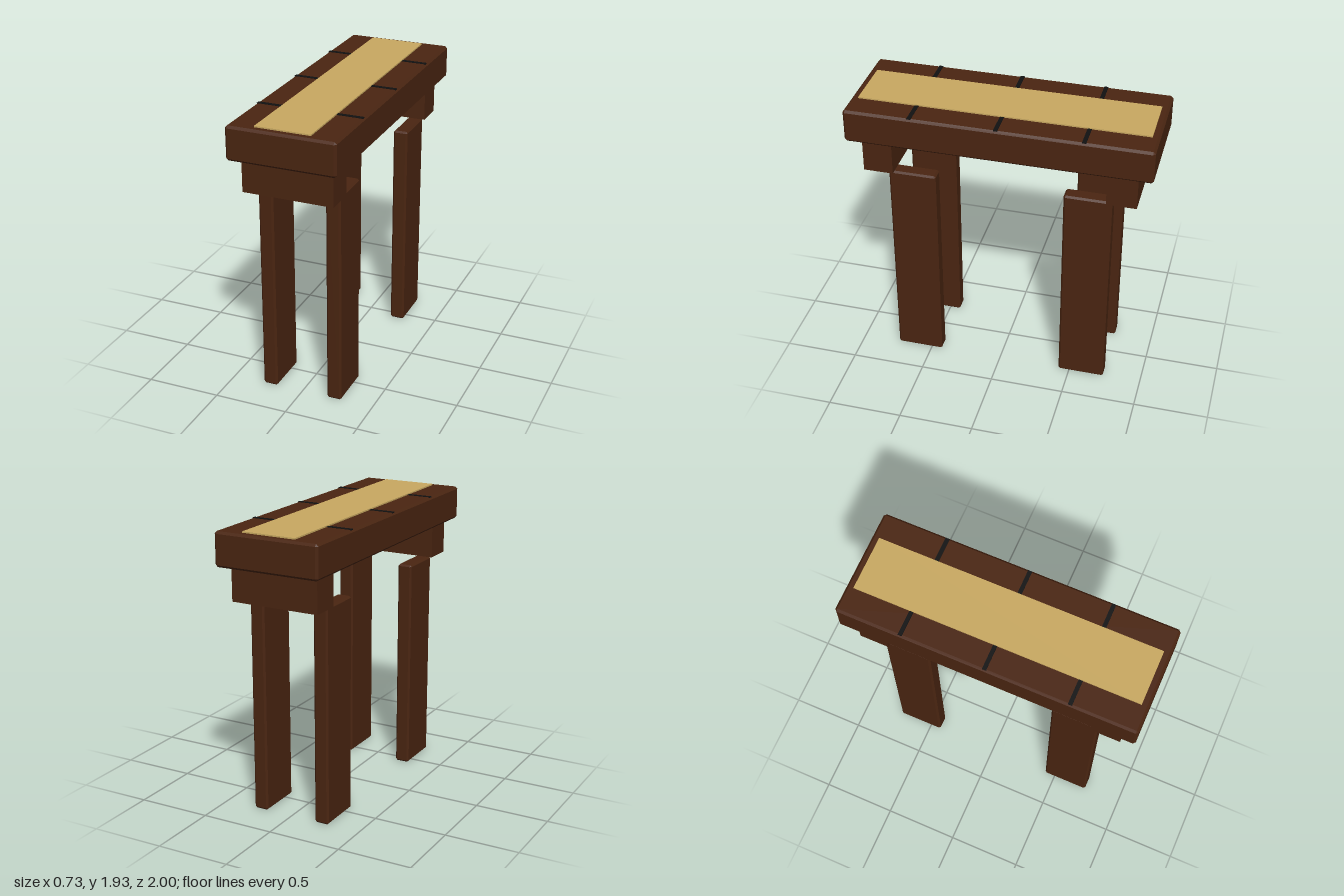
import * as THREE from 'three';
import { ConvexGeometry } from 'three/addons/geometries/ConvexGeometry.js';

// Box with every edge chamfered by c
function chamferedBox(w, h, d, c) {
  const points = [];
  const [x, y, z] = [w / 2, h / 2, d / 2];
  for (const sx of [-1, 1]) for (const sy of [-1, 1]) for (const sz of [-1, 1]) {
    points.push(
      new THREE.Vector3(sx * x, sy * (y - c), sz * (z - c)),
      new THREE.Vector3(sx * (x - c), sy * y, sz * (z - c)),
      new THREE.Vector3(sx * (x - c), sy * (y - c), sz * z),
    );
  }
  return new ConvexGeometry(points);
}

export function createModel() {
  const model = new THREE.Group();
  model.name = 'table';

  const wood = new THREE.MeshStandardMaterial({ color: 0x4a2511 });
  wood.name = 'dark wood';
  const cloth = new THREE.MeshStandardMaterial({ color: 0xc9a961 });
  cloth.name = 'tan runner';
  const black = new THREE.MeshStandardMaterial({ color: 0x111111 });
  black.name = 'black groove';

  function add(name, geometry, material, x, y, z) {
    const mesh = new THREE.Mesh(geometry, material);
    mesh.name = name;
    mesh.position.set(x, y, z);
    model.add(mesh);
  }

  // Thick top with a runner lying along it
  add('tableTop', chamferedBox(0.725, 0.226, 2, 0.015), wood, 0, 1.812, 0);
  add('runner', new THREE.BoxGeometry(0.37, 0.009, 1.905), cloth, 0, 1.9295, 0);

  // Plank joints across the top
  for (const z of [-0.56, 0, 0.56]) {
    add('plankJoint', new THREE.BoxGeometry(0.71, 0.006, 0.027), black, 0, 1.925, z);
  }

  // Crosspiece and a pair of legs at each end
  const crosspiece = new THREE.BoxGeometry(0.61, 0.236, 0.197);
  const leg = chamferedBox(0.1, 1.464, 0.316, 0.012);
  for (const end of [-1, 1]) {
    add('crosspiece', crosspiece, wood, 0, 1.582, end * 0.803);
    for (const side of [-1, 1]) add('leg', leg, wood, side * 0.23, 0.732, end * 0.583);
  }

  return model;
}
